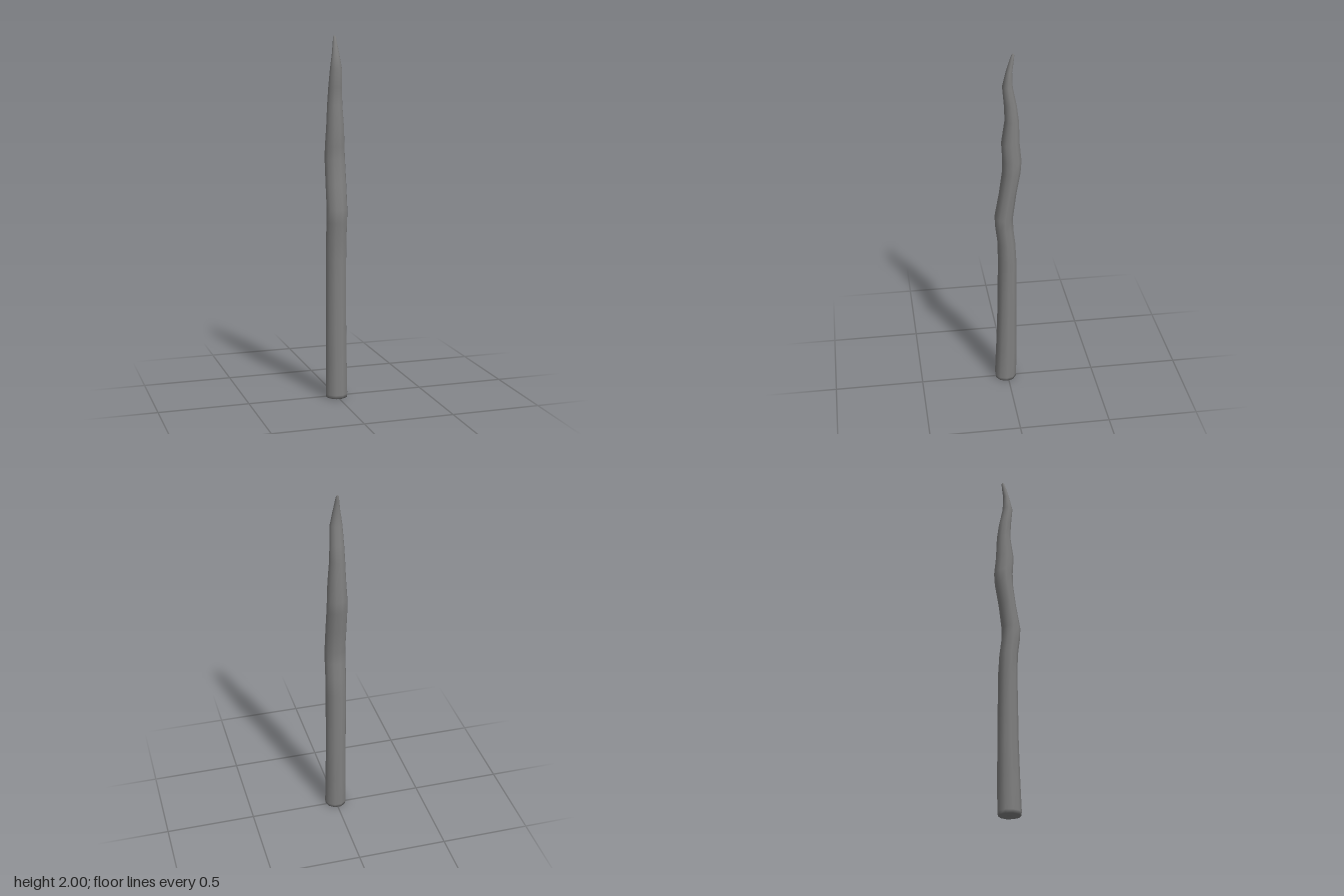
import * as THREE from 'three';

// Spine rings: height, z offset, half width in x, half depth in z
const RINGS = [
  [0, 0.012, 0.06, 0.06],
  [0.02, 0.012, 0.063, 0.063],
  [0.2, 0.007, 0.061, 0.06],
  [0.4, 0.004, 0.059, 0.056],
  [0.78, 0.002, 0.059, 0.052],
  [0.9, 0.007, 0.059, 0.05],
  [0.99, 0.018, 0.059, 0.05],
  [1.06, 0.021, 0.059, 0.051],
  [1.2, 0.0, 0.059, 0.047],
  [1.33, -0.02, 0.058, 0.05],
  [1.4, -0.023, 0.056, 0.052],
  [1.5, -0.015, 0.051, 0.05],
  [1.63, -0.022, 0.043, 0.038],
  [1.72, -0.014, 0.039, 0.034],
  [1.82, 0.001, 0.034, 0.028],
  [1.9, -0.007, 0.021, 0.017],
  [1.96, -0.02, 0.012, 0.012],
  [1.99, -0.027, 0.008, 0.008],
];
const SIDES = 10;

// Skins the rings with shared vertices, closed by a point at each end
function taperedStem(rings, bottom, tip) {
  const positions = [];
  const index = [];
  for (const [y, z, rx, rz] of rings) {
    for (let j = 0; j < SIDES; j++) {
      const a = (j / SIDES) * Math.PI * 2;
      positions.push(Math.cos(a) * rx, y, z + Math.sin(a) * rz);
    }
  }
  const bottomId = rings.length * SIDES;
  const tipId = bottomId + 1;
  positions.push(...bottom, ...tip);

  const last = (rings.length - 1) * SIDES;
  for (let j = 0; j < SIDES; j++) {
    const k = (j + 1) % SIDES;
    for (let r = 0; r < last; r += SIDES) {
      index.push(r + j, r + SIDES + j, r + k);
      index.push(r + k, r + SIDES + j, r + SIDES + k);
    }
    index.push(bottomId, j, k);
    index.push(tipId, last + k, last + j);
  }

  const geometry = new THREE.BufferGeometry();
  geometry.setAttribute('position', new THREE.Float32BufferAttribute(positions, 3));
  geometry.setIndex(index);
  geometry.computeVertexNormals();
  return geometry;
}

export function createModel() {
  const group = new THREE.Group();
  group.name = 'wavyStake';

  // Straight lower stem that waves front to back and tapers to a point
  const stem = new THREE.Mesh(
    taperedStem(RINGS, [0, 0, 0.012], [0, 2, -0.029]),
    new THREE.MeshStandardMaterial({ color: 0x808080 })
  );
  stem.name = 'stem';
  group.add(stem);
  return group;
}
